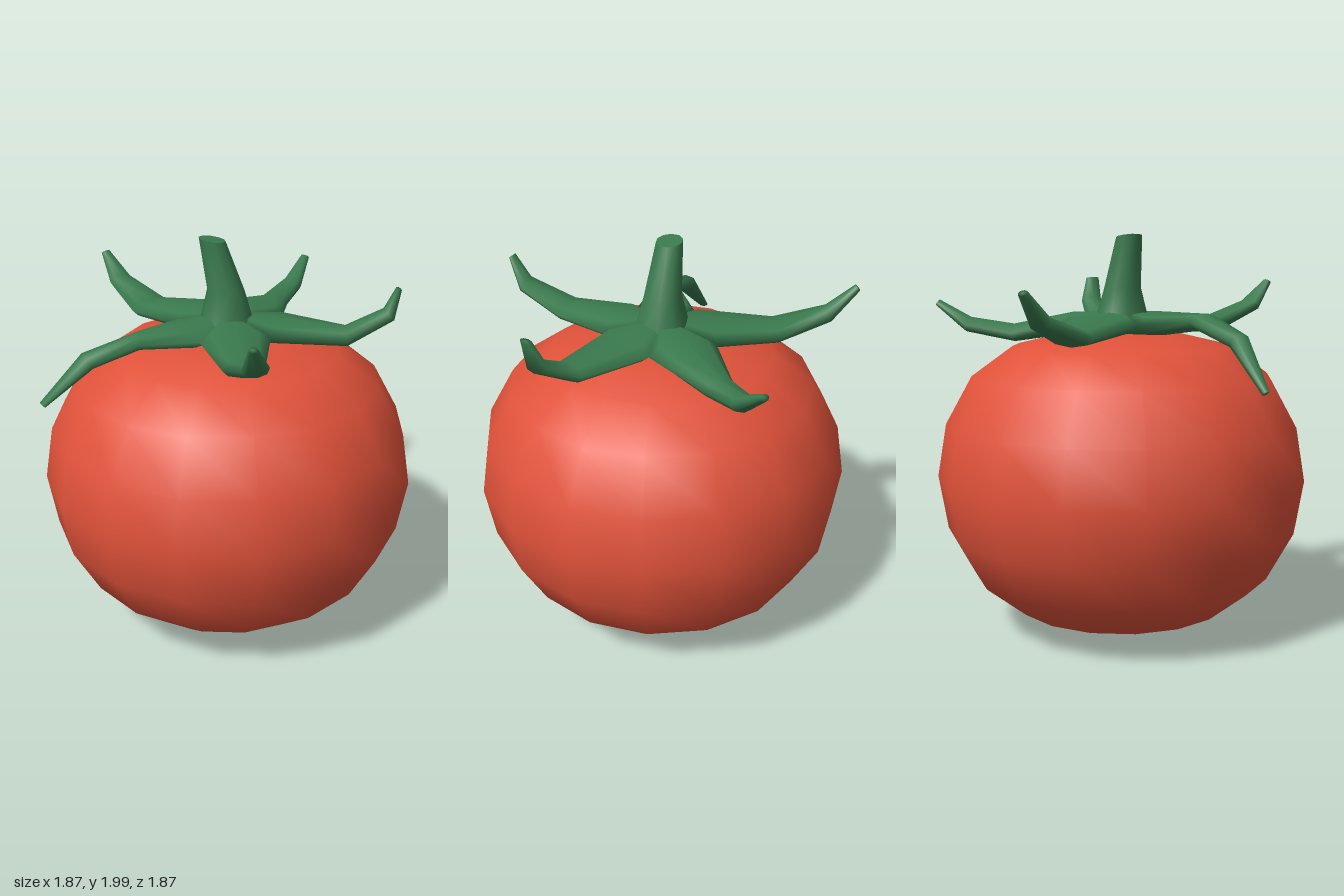
import * as THREE from 'three';
import { mergeVertices, toCreasedNormals } from 'three/addons/utils/BufferGeometryUtils.js';

const red = new THREE.MeshStandardMaterial({ color: 0xe0523a });
red.name = 'tomato red';
const green = new THREE.MeshStandardMaterial({ color: 0x3a7a4e });
green.name = 'leaf green';

const SIDES = 8;

// Each sepal: cross-sections [leftX, leftZ, rightX, rightZ, y, half thickness],
// from the hub to the tip. Neighbours share their first edge points.
const SEPALS = [
  [[0.17, 0.23, -0.17, 0.23, 1.56, 0.055], [0.085, 0.55, -0.115, 0.55, 1.55, 0.045],
    [0.06, 0.78, -0.07, 0.81, 1.64, 0.035], [-0.01, 0.885, -0.055, 0.89, 1.765, 0.018]],
  [[0.29, -0.085, 0.17, 0.23, 1.56, 0.055], [0.57, 0.1, 0.53, 0.27, 1.54, 0.045],
    [0.75, 0.16, 0.74, 0.28, 1.65, 0.035], [0.785, 0.21, 0.77, 0.28, 1.78, 0.015]],
  [[0.03, -0.31, 0.29, -0.085, 1.56, 0.055], [0.25, -0.5, 0.38, -0.4, 1.51, 0.045],
    [0.42, -0.68, 0.5, -0.6, 1.55, 0.04], [0.535, -0.785, 0.575, -0.755, 1.66, 0.018]],
  [[-0.26, -0.05, 0.03, -0.31, 1.56, 0.055], [-0.44, -0.39, -0.24, -0.52, 1.52, 0.045],
    [-0.54, -0.65, -0.42, -0.7, 1.6, 0.04], [-0.575, -0.775, -0.53, -0.8, 1.73, 0.018]],
  [[-0.17, 0.23, -0.26, -0.05, 1.56, 0.055], [-0.46, 0.28, -0.43, 0.125, 1.58, 0.04],
    [-0.68, 0.29, -0.71, 0.165, 1.5, 0.04], [-0.91, 0.24, -0.925, 0.195, 1.285, 0.015]],
];

// Star of sepals: elliptical rings joined along each arm, closed at hub and tip
function calyxGeometry() {
  const positions = [];
  const tri = (...pts) => pts.forEach((p) => positions.push(p.x, p.y, p.z));
  const hubTop = new THREE.Vector3(0, 1.62, 0);
  const hubBottom = new THREE.Vector3(0, 1.5, 0);

  for (const sections of SEPALS) {
    const centres = sections.map(([lx, lz, rx, rz, y]) => new THREE.Vector3((lx + rx) / 2, y, (lz + rz) / 2));
    const rings = sections.map(([lx, lz, rx, rz, , t], i) => {
      const half = new THREE.Vector3((lx - rx) / 2, 0, (lz - rz) / 2);
      const along = centres[Math.min(i + 1, centres.length - 1)].clone().sub(centres[Math.max(i - 1, 0)]);
      const up = i === 0 ? new THREE.Vector3(0, 1, 0) : along.cross(half).normalize();
      if (up.y < 0) up.negate();
      return Array.from({ length: SIDES }, (_, j) => {
        const a = (j / SIDES) * Math.PI * 2;
        return centres[i].clone().addScaledVector(half, Math.cos(a)).addScaledVector(up, t * Math.sin(a));
      });
    });
    const last = rings.length - 1;
    for (let j = 0; j < SIDES; j++) {
      const k = (j + 1) % SIDES;
      tri(j < SIDES / 2 ? hubTop : hubBottom, rings[0][k], rings[0][j]);
      for (let i = 0; i < last; i++) {
        tri(rings[i][j], rings[i][k], rings[i + 1][j]);
        tri(rings[i][k], rings[i + 1][k], rings[i + 1][j]);
      }
      tri(centres[last], rings[last][j], rings[last][k]);
    }
  }
  const geometry = new THREE.BufferGeometry();
  geometry.setAttribute('position', new THREE.Float32BufferAttribute(positions, 3));
  const merged = mergeVertices(geometry, 1e-4);
  merged.computeVertexNormals();
  return merged;
}

// Tapered stalk, bent towards -x, with a slightly tilted cut
function stemGeometry() {
  const geometry = new THREE.CylinderGeometry(1, 1, 2, 10, 2);
  const rows = [
    { y: 1.59, x: -0.005, r: 0.132 },
    { y: 1.74, x: -0.01, r: 0.092 },
    { y: 1.99, x: -0.075, r: 0.065 },
  ];
  const p = geometry.attributes.position;
  for (let i = 0; i < p.count; i++) {
    const level = Math.round(p.getY(i)) + 1;
    const { y, x, r } = rows[level];
    const tilt = level === 2 ? -0.01 * p.getX(i) : 0;
    p.setXYZ(i, x + r * p.getX(i), y + tilt, r * p.getZ(i));
  }
  return toCreasedNormals(geometry, 0.9);
}

export function createModel() {
  const model = new THREE.Group();
  model.name = 'tomato';
  const add = (name, geometry, material) => {
    const mesh = new THREE.Mesh(geometry, material);
    mesh.name = name;
    model.add(mesh);
  };

  // Squat round fruit, profile from base to crown
  const profile = [
    [0, 0.005], [0.29, 0.03], [0.55, 0.115], [0.757, 0.28], [0.89, 0.525], [0.935, 0.795],
    [0.89, 1.06], [0.757, 1.3], [0.55, 1.45], [0.29, 1.51], [0, 1.51],
  ].map(([r, y]) => new THREE.Vector2(r, y));
  add('fruit', new THREE.LatheGeometry(profile, 16), red);

  add('calyx', calyxGeometry(), green);
  add('stem', stemGeometry(), green);
  return model;
}
